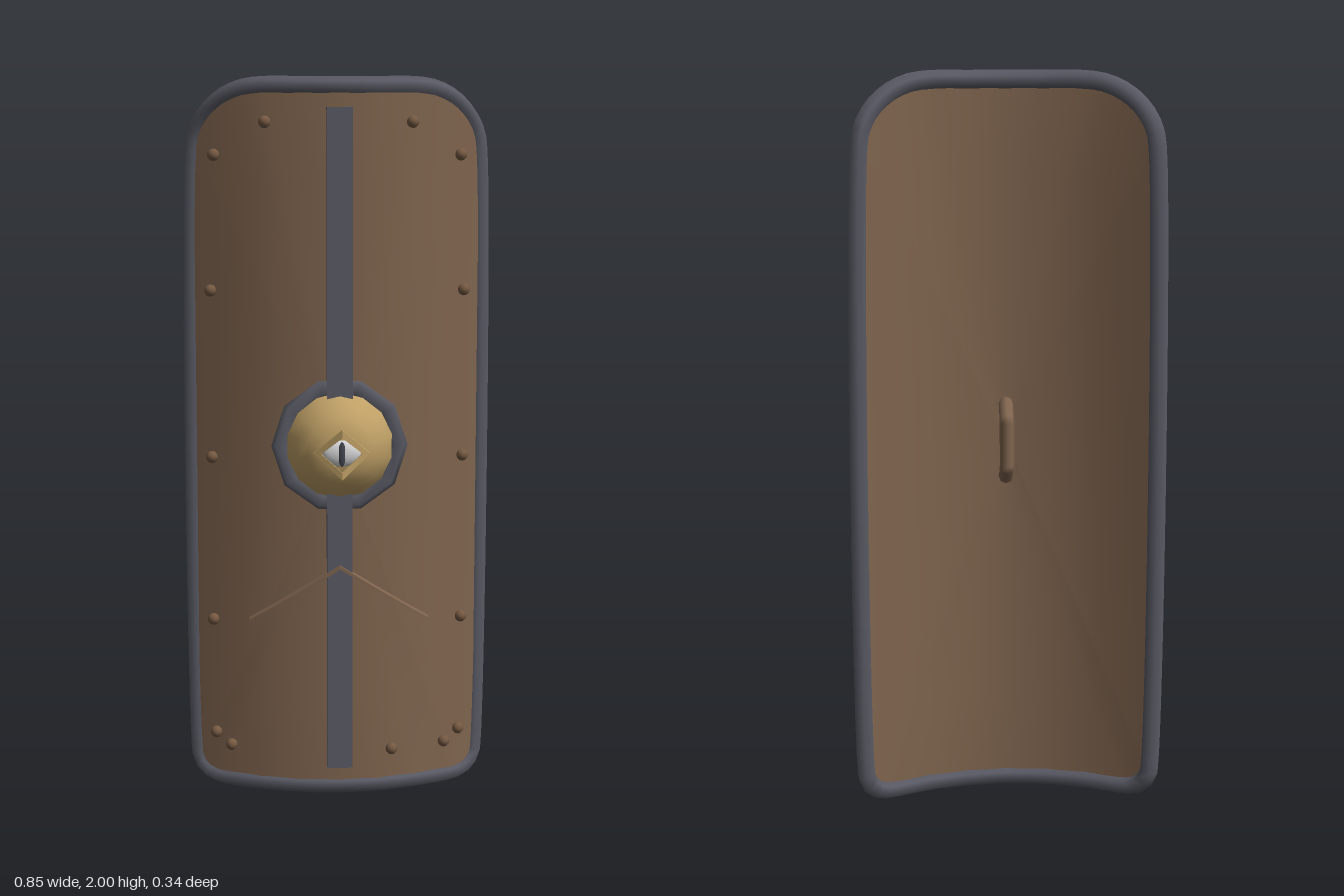
import * as THREE from 'three';

const paint = (name, color) => {
  const m = new THREE.MeshStandardMaterial({ color });
  m.name = name;
  return m;
};
const MID = 1.0; // height of the shield centre
const HALF = 0.392, TOP = 1.974, BOTTOM = 0.028; // centre line of the rim
const curveZ = (x) => -0.008 - 0.9 * x * x; // bow of the board

// Rounded outline, counter-clockwise from the front, large top and small bottom corners
function outlinePoints() {
  const right = [];
  const corner = (rx, ry, cy, from, steps) => {
    for (let i = 0; i <= steps; i++) {
      const a = from + (i / steps) * Math.PI / 2;
      right.push([HALF - rx + rx * Math.cos(a), cy + ry * Math.sin(a)]);
    }
  };
  right.push([0, BOTTOM], [0.11, BOTTOM], [0.22, BOTTOM]);
  corner(0.065, 0.065, BOTTOM + 0.065, -Math.PI / 2, 4);
  corner(0.185, 0.175, TOP - 0.175, 0, 5);
  right.push([0.1, TOP], [0, TOP]);
  const left = right.slice(1, -1).reverse().map(([x, y]) => [-x, y]);
  return [...right, ...left];
}

// Bowed sheet made of rings shrinking towards the centre
function sheet(outline, offset, flip) {
  const rings = [0.001, 0.25, 0.5, 0.75, 1], n = outline.length, pos = [], index = [];
  for (const s of rings)
    for (const [x, y] of outline) pos.push(x * s, MID + (y - MID) * s, curveZ(x * s) + offset);
  for (let r = 0; r < rings.length - 1; r++)
    for (let i = 0; i < n; i++) {
      const a = r * n + i, b = r * n + (i + 1) % n, c = a + n, d = b + n;
      if (flip) index.push(a, d, c, a, b, d);
      else index.push(a, c, d, a, d, b);
    }
  const g = new THREE.BufferGeometry();
  g.setAttribute('position', new THREE.Float32BufferAttribute(pos, 3));
  g.setIndex(index);
  g.computeVertexNormals();
  return g;
}

// Thin curved band sloping down to one side, standing out from the board
function band(side) {
  const g = new THREE.BoxGeometry(0.25, 0.01, 0.032, 6, 1, 1);
  const p = g.attributes.position;
  for (let i = 0; i < p.count; i++) {
    const x = p.getX(i) + 0.125;
    p.setXYZ(i, x, 0.668 - 0.65 * x + p.getY(i), 0.036 - 0.85 * x * x + p.getZ(i));
  }
  if (side < 0) {
    // mirror the positions and turn the faces round
    for (let i = 0; i < p.count; i++) p.setX(i, -p.getX(i));
    const idx = g.index.array;
    for (let i = 0; i < idx.length; i += 3) [idx[i], idx[i + 1]] = [idx[i + 1], idx[i]];
  }
  g.computeVertexNormals();
  return g;
}

export function createModel() {
  const model = new THREE.Group();
  model.name = 'shield';
  const wood = paint('brown wood', 0x80654f);
  const iron = paint('dark iron', 0x5a5b65);
  const brass = paint('brass', 0xbfa066);
  const bronze = paint('bronze rivets', 0x765a43);
  const white = paint('eye white', 0xd6d6d8);
  const dark = paint('pupil grey', 0x44464f);

  const add = (name, geo, mat, x = 0, y = 0, z = 0, parent = model) => {
    const m = new THREE.Mesh(geo, mat);
    m.name = name;
    m.position.set(x, y, z);
    parent.add(m);
    return m;
  };

  // Board and rim
  const outline = outlinePoints();
  add('boardFront', sheet(outline, 0.018, false), wood);
  add('boardBack', sheet(outline, -0.008, true), wood);
  const path = new THREE.CatmullRomCurve3(
    outline.map(([x, y]) => new THREE.Vector3(x, y, curveZ(x))), true, 'centripetal');
  add('rim', new THREE.TubeGeometry(path, 180, 0.027, 6, true), iron);

  // Centre strip
  add('centreStrip', new THREE.BoxGeometry(0.07, 1.83, 0.034), iron, 0, 1.005, 0.024);

  // Boss: ten-sided iron ring and brass dome
  const ring = new THREE.TorusGeometry(0.163, 0.024, 6, 10);
  ring.scale(1, 1, 0.4);
  add('bossRing', ring, iron, 0, MID + 0.005, 0.02);
  const profile = [[0.147, 0.012], [0.146, 0.03], [0.122, 0.066], [0.092, 0.1], [0.05, 0.12], [0, 0.123]];
  const dome = new THREE.LatheGeometry(profile.map(([r, h]) => new THREE.Vector2(r, h)), 14);
  dome.rotateX(Math.PI / 2);
  add('bossDome', dome, brass, 0, MID + 0.005, 0);

  // Eye: folded diamond frame, white ball and slit pupil
  const eye = new THREE.Group();
  eye.name = 'eye';
  eye.position.set(0, MID + 0.002, 0);
  model.add(eye);
  const diamond = (w, h) => [[w, 0], [0, h], [-w, 0], [0, -h]].map(([x, y]) => new THREE.Vector2(x, y));
  const shape = new THREE.Shape(diamond(0.077, 0.068));
  shape.holes.push(new THREE.Path(diamond(0.056, 0.047).reverse()));
  const frame = new THREE.ExtrudeGeometry(shape, { depth: 0.013, bevelEnabled: false });
  const fp = frame.attributes.position;
  for (let i = 0; i < fp.count; i++) fp.setZ(i, fp.getZ(i) + 0.151 - 0.42 * Math.abs(fp.getX(i)));
  frame.computeVertexNormals();
  add('eyeFrame', frame, brass, 0, 0, 0, eye);
  add('eyeBall', new THREE.SphereGeometry(1, 16, 10), white, 0, 0, 0.13, eye).scale.set(0.052, 0.036, 0.018);
  add('pupil', new THREE.SphereGeometry(1, 10, 8), dark, 0, 0, 0.145, eye).scale.set(0.01, 0.034, 0.005);

  // Pair of sloping bands below the boss
  add('leftBand', band(1), wood);
  add('rightBand', band(-1), wood);

  // Rivets
  const rivet = new THREE.SphereGeometry(0.017, 8, 6);
  const addRivet = (x, y) => add('rivet', rivet, bronze, x, y, curveZ(x) + 0.024);
  for (const [x, y] of [[0.2, 1.88], [0.338, 1.79], [0.35, 1.42], [0.35, 0.955], [0.35, 0.49], [0.345, 0.16], [0.302, 0.13]]) {
    addRivet(x, y);
    addRivet(-x, y);
  }
  addRivet(0.148, 0.13);

  // Hand grip on the back
  const grip = new THREE.CurvePath();
  const gp = [[1.1, -0.01], [1.1, -0.035], [1.06, -0.085], [0.94, -0.085], [0.9, -0.035], [0.9, -0.01]]
    .map(([y, z]) => new THREE.Vector3(0, y, z));
  for (let i = 1; i < gp.length; i++) grip.add(new THREE.LineCurve3(gp[i - 1], gp[i]));
  add('grip', new THREE.TubeGeometry(grip, 30, 0.02, 8), wood);

  return model;
}
